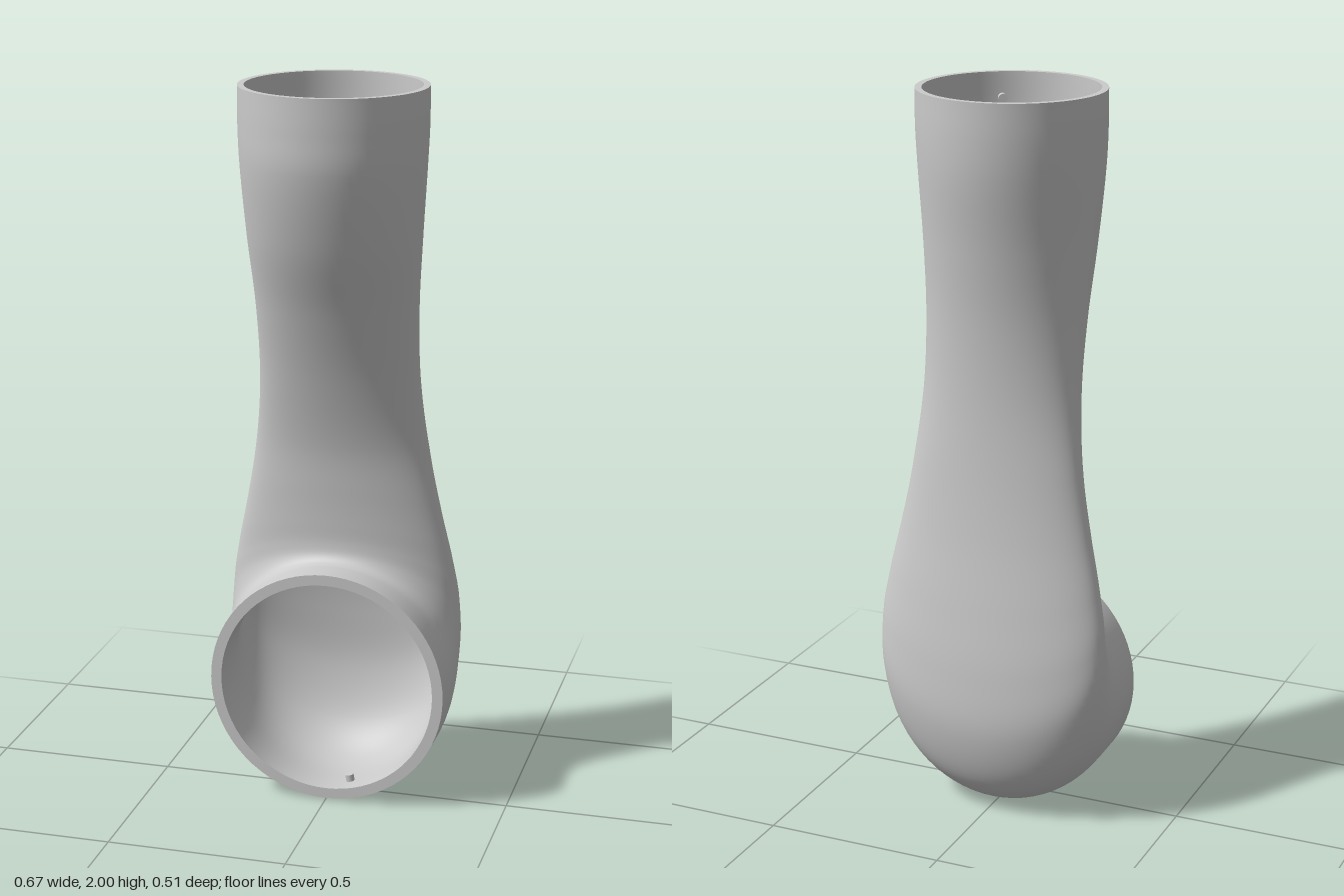
import * as THREE from 'three';

const SIDES = 72, STEPS = 112;

// Stations down the duct: front y, front z, back y, back z, half width, wall
const stations = [
  [2.00, 0.253, 2.00, -0.253, 0.253, 0.018],
  [1.90, 0.253, 1.90, -0.252, 0.253, 0.018],
  [1.80, 0.248, 1.80, -0.245, 0.249, 0.018],
  [1.60, 0.197, 1.60, -0.215, 0.237, 0.018],
  [1.40, 0.120, 1.40, -0.190, 0.225, 0.018],
  [1.20, 0.052, 1.20, -0.180, 0.225, 0.018],
  [1.00, 0.000, 1.00, -0.185, 0.245, 0.018],
  [0.87, -0.015, 0.80, -0.201, 0.274, 0.019],
  [0.78, -0.021, 0.60, -0.227, 0.305, 0.020],
  [0.72, -0.022, 0.42, -0.248, 0.326, 0.022],
  [0.69, -0.016, 0.25, -0.251, 0.333, 0.025],
  [0.674, -0.004, 0.10, -0.208, 0.333, 0.028],
  [0.668, 0.010, 0.03, -0.150, 0.333, 0.030],
  [0.667, 0.025, 0.00, -0.080, 0.333, 0.030],
  [0.667, 0.090, 0.00, 0.090, 0.333, 0.030],
];
const frontCurve = new THREE.CatmullRomCurve3(stations.map(s => new THREE.Vector3(s[4], s[0], s[1])));
const backCurve = new THREE.CatmullRomCurve3(stations.map(s => new THREE.Vector3(s[5], s[2], s[3])));

// Elliptical ring spanning the front and back profiles, optionally inset by the wall
function ring(u, inset) {
  const f = frontCurve.getPoint(u), b = backCurve.getPoint(u);
  const wall = inset ? b.x : 0, width = f.x - wall;
  f.x = b.x = 0;
  const mid = f.clone().add(b).multiplyScalar(0.5);
  const half = f.clone().sub(mid);
  half.setLength(half.length() - wall);
  return Array.from({ length: SIDES }, (_, j) => {
    const a = (j / SIDES) * Math.PI * 2;
    return mid.clone().addScaledVector(half, Math.cos(a)).setX(width * Math.sin(a));
  });
}

// Smooth closed-loop skin through a list of rings
function loft(rings) {
  const index = [];
  for (let i = 0; i < rings.length - 1; i++) {
    for (let j = 0; j < SIDES; j++) {
      const k = (j + 1) % SIDES;
      const a = i * SIDES + j, b = i * SIDES + k;
      const c = a + SIDES, d = b + SIDES;
      index.push(a, c, d, a, d, b);
    }
  }
  const geometry = new THREE.BufferGeometry().setFromPoints(rings.flat());
  geometry.setIndex(index);
  geometry.computeVertexNormals();
  return geometry;
}

export function createModel() {
  const group = new THREE.Group();
  group.name = 'ductAdapter';
  const material = new THREE.MeshStandardMaterial({ color: 0xcccccc });
  const add = (name, geometry) => {
    const mesh = new THREE.Mesh(geometry, material);
    mesh.name = name;
    group.add(mesh);
    return mesh;
  };

  const outer = [], inner = [];
  for (let i = 0; i <= STEPS; i++) {
    outer.push(ring(i / STEPS, false));
    inner.push(ring(i / STEPS, true));
  }

  // Duct walls and the flat rims joining them
  add('outerWall', loft(outer));
  add('innerWall', loft([...inner].reverse()));
  add('topRim', loft([inner[0], outer[0]]));
  add('frontRim', loft([outer[STEPS], inner[STEPS]]));

  // Small locating pegs inside each socket
  const peg = (name, centre, direction, distance) => {
    const mesh = add(name, new THREE.CylinderGeometry(0.012, 0.012, 0.024, 16));
    direction.normalize();
    mesh.quaternion.setFromUnitVectors(new THREE.Vector3(0, 1, 0), direction);
    mesh.position.copy(centre).addScaledVector(direction, distance);
  };
  peg('topPeg', new THREE.Vector3(0, 1.93, 0), new THREE.Vector3(0.11, 0, 0.19), 0.227);
  peg('frontPeg', new THREE.Vector3(0, 0.333, 0.03), new THREE.Vector3(0.055, -0.29, 0), 0.297);

  return group;
}
